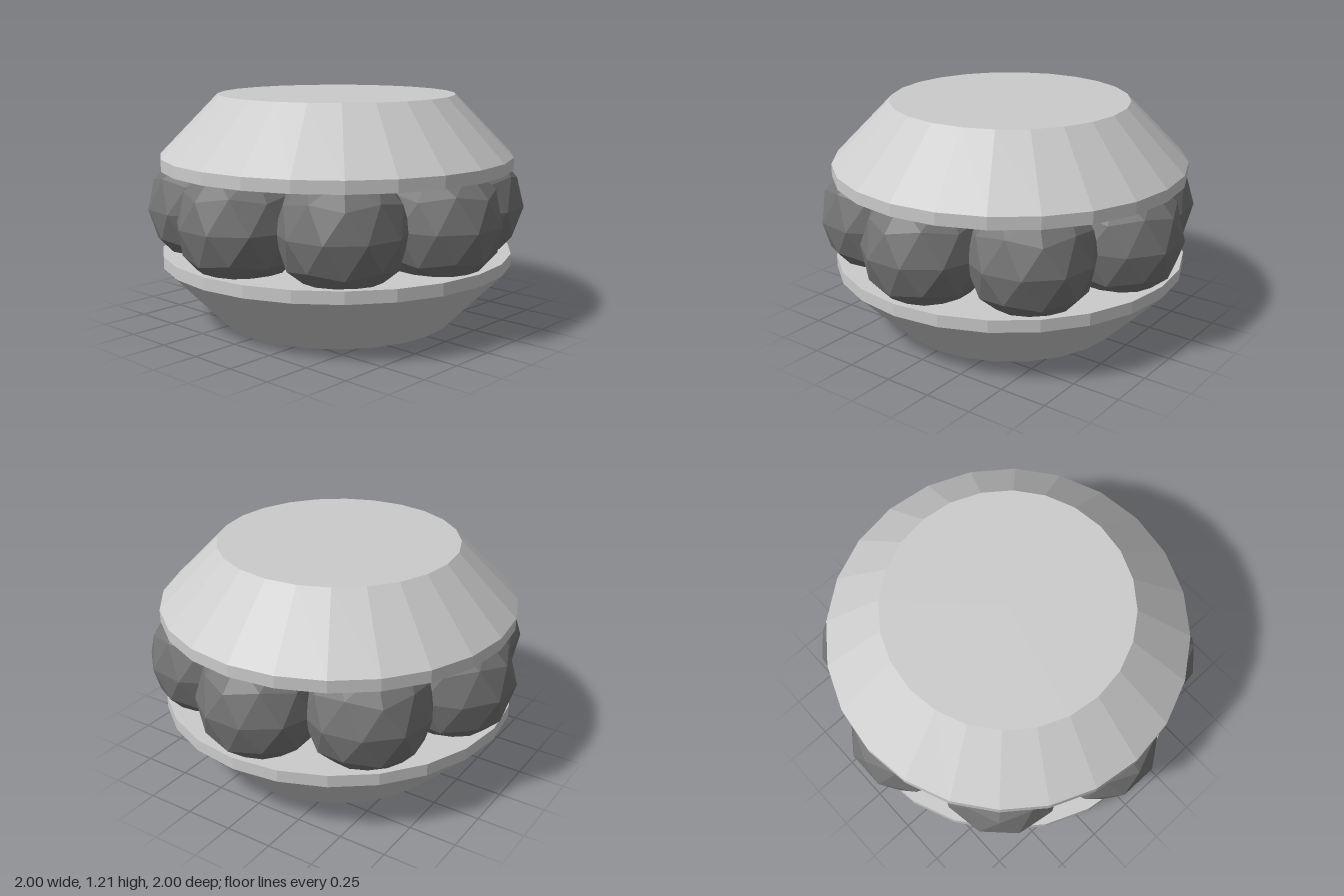
import * as THREE from 'three';

const HEIGHT = 1.21;
const BALLS = 8;
const BALL_RADIUS = 0.328;
const RING_RADIUS = 0.688;

export function createModel() {
  const model = new THREE.Group();
  model.name = 'ballBearing';
  const shellMaterial = new THREE.MeshStandardMaterial({ color: 0xcccccc, flatShading: true });
  const ballMaterial = new THREE.MeshStandardMaterial({ color: 0x747474, flatShading: true });

  // Closed conical plates with a thin upright rim, profile as [radius, y]
  const profile = [[0, 0], [0.63, 0], [0.94, 0.318], [0.94, 0.382], [0, 0.382]];
  const mirrored = profile.map(([r, y]) => [r, HEIGHT - y]).reverse();
  const addPlate = (name, points) => {
    const geometry = new THREE.LatheGeometry(points.map(([r, y]) => new THREE.Vector2(r, y)), 24);
    const plate = new THREE.Mesh(geometry, shellMaterial);
    plate.name = name;
    model.add(plate);
  };
  addPlate('lowerPlate', profile);
  addPlate('upperPlate', mirrored);

  // Faceted ball with one corner straight up and an equator edge facing outward
  const ballGeometry = new THREE.IcosahedronGeometry(BALL_RADIUS, 1);
  ballGeometry.rotateX(-Math.atan((1 + Math.sqrt(5)) / 2));
  ballGeometry.translate(0, HEIGHT / 2, RING_RADIUS);

  // Ring of balls between the plates
  const ring = new THREE.Group();
  ring.name = 'ballRing';
  for (let i = 0; i < BALLS; i++) {
    const ball = new THREE.Mesh(ballGeometry, ballMaterial);
    ball.name = `ball${i + 1}`;
    ball.rotation.y = (i / BALLS) * Math.PI * 2;
    ring.add(ball);
  }
  model.add(ring);

  return model;
}
